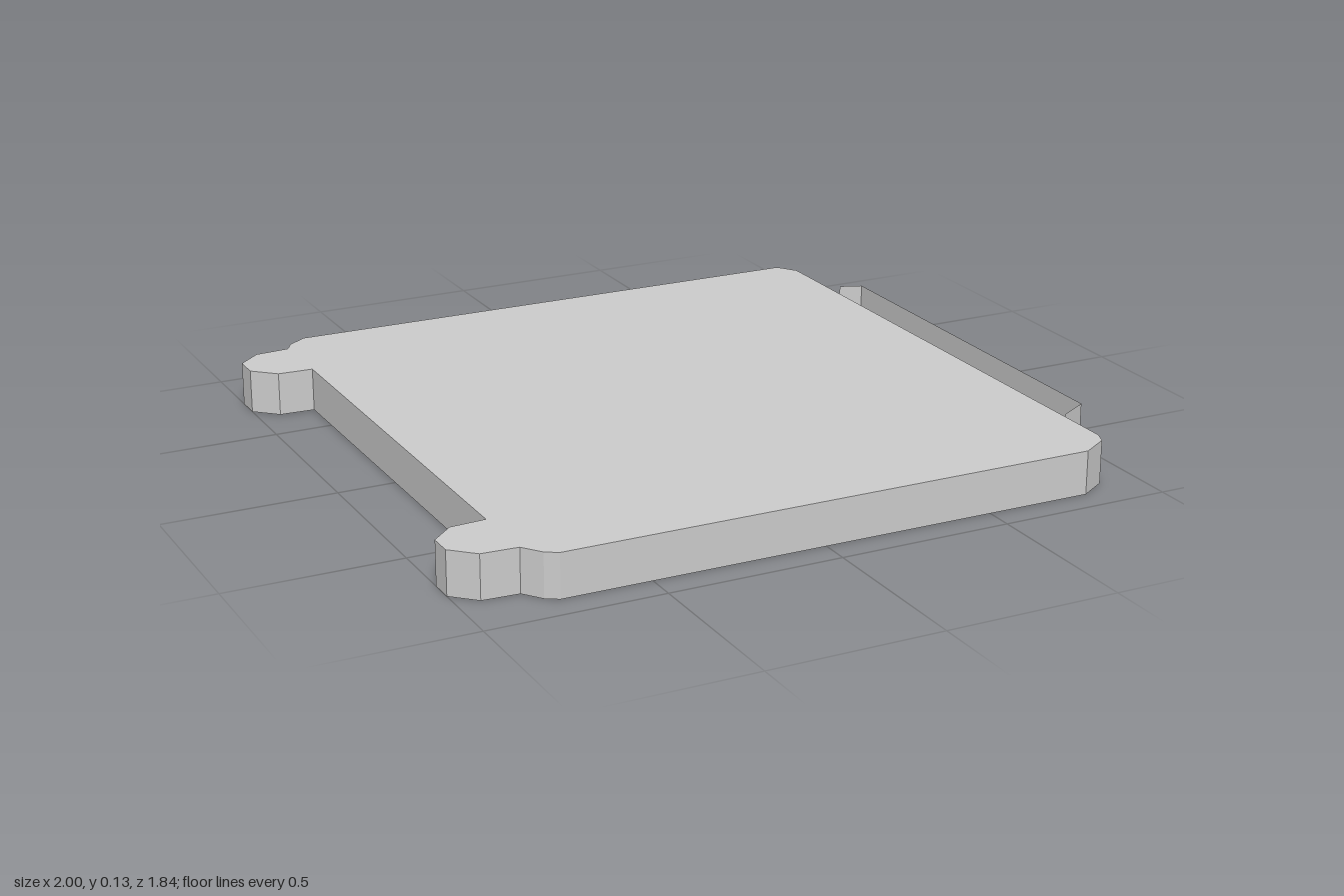
import * as THREE from 'three';

const HEIGHT = 0.126;

// Flat slab outline as [x, z] points, running round the panel and its two hinge tabs
const OUTLINE = [
  [-0.76, -0.923], [0.855, -0.908], [0.895, -0.85], [0.9, 0.83],
  [0.885, 0.87], [0.805, 0.92], [-0.755, 0.913], [-0.79, 0.892], [-0.83, 0.838],
  // front tab
  [-0.935, 0.832], [-1, 0.77], [-1, 0.70], [-0.935, 0.64], [-0.833, 0.634],
  // back tab
  [-0.833, -0.645], [-0.935, -0.65], [-1, -0.71], [-1, -0.785], [-0.935, -0.843],
  [-0.835, -0.85], [-0.815, -0.885],
];

// Thin open wall beside the panel, with short angled ends
const RAIL = [[0.912, 0.655], [1, 0.605], [1, -0.615], [0.935, -0.64]];

// Upright open wall along a path of [x, z] points
function wallGeometry(path, height) {
  const positions = [];
  for (let i = 0; i < path.length - 1; i++) {
    const [x0, z0] = path[i];
    const [x1, z1] = path[i + 1];
    positions.push(x0, 0, z0, x1, 0, z1, x1, height, z1);
    positions.push(x0, 0, z0, x1, height, z1, x0, height, z0);
  }
  const geometry = new THREE.BufferGeometry();
  geometry.setAttribute('position', new THREE.Float32BufferAttribute(positions, 3));
  geometry.computeVertexNormals();
  return geometry;
}

export function createModel() {
  const group = new THREE.Group();
  group.name = 'hingedPanel';

  // Panel with tabs
  const shape = new THREE.Shape(OUTLINE.map(([x, z]) => new THREE.Vector2(x, -z)));
  const panelGeometry = new THREE.ExtrudeGeometry(shape, { depth: HEIGHT, bevelEnabled: false });
  panelGeometry.rotateX(-Math.PI / 2);
  const panel = new THREE.Mesh(
    panelGeometry,
    new THREE.MeshStandardMaterial({ color: 0xcccccc, flatShading: true })
  );
  panel.name = 'panel';

  // Side rail
  const rail = new THREE.Mesh(
    wallGeometry(RAIL, HEIGHT),
    new THREE.MeshStandardMaterial({ color: 0xcccccc, flatShading: true, side: THREE.DoubleSide })
  );
  rail.name = 'sideRail';

  group.add(panel, rail);
  return group;
}
